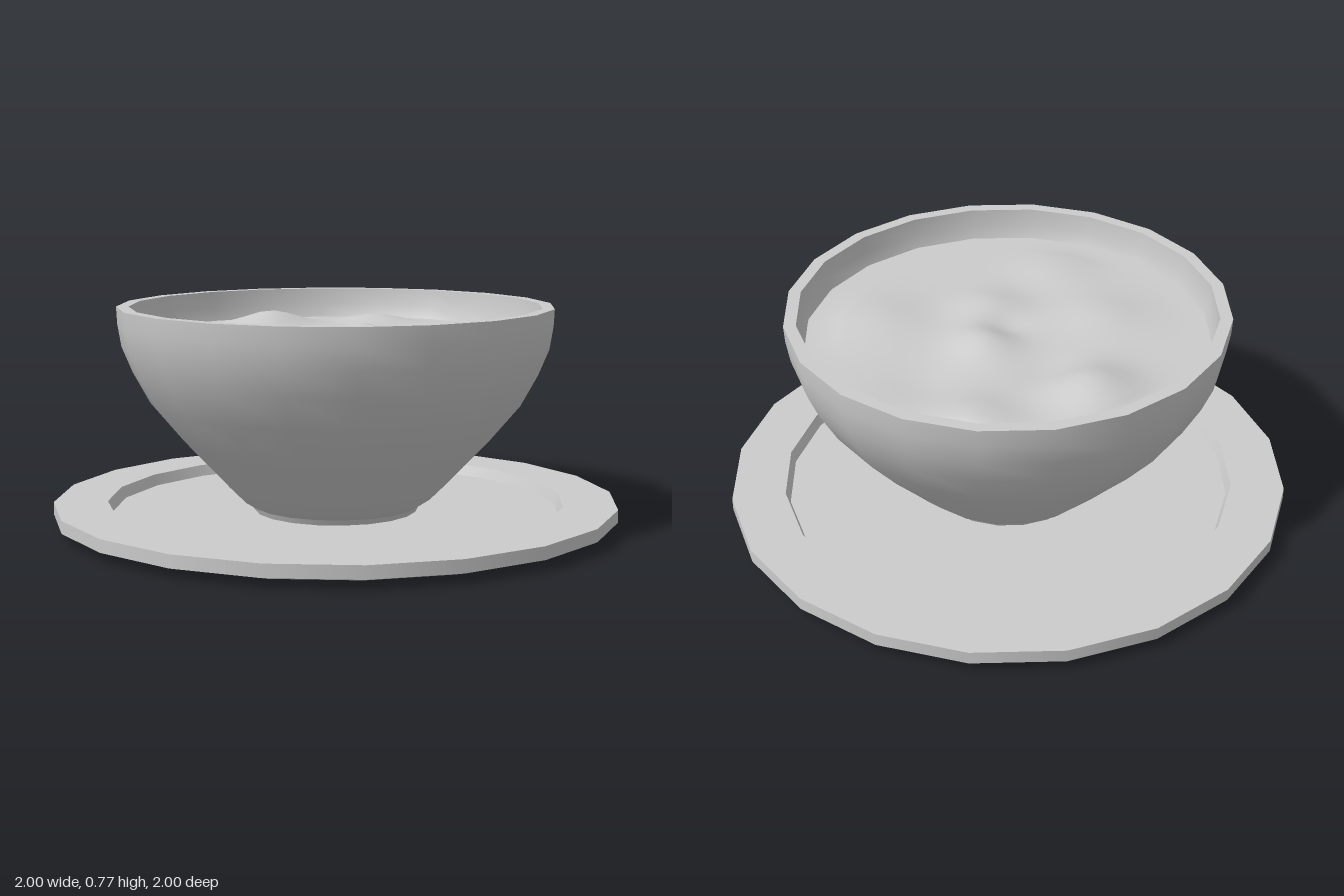
import * as THREE from 'three';
import { mergeGeometries } from 'three/addons/utils/BufferGeometryUtils.js';

const SIDES = 20;

// Turns several smooth runs of a profile into one mesh, with sharp edges between the runs
function turned(name, runs, material) {
  const parts = runs.map((run) =>
    new THREE.LatheGeometry(run.map(([r, y]) => new THREE.Vector2(r, y)), SIDES));
  const mesh = new THREE.Mesh(mergeGeometries(parts), material);
  mesh.name = name;
  return mesh;
}

// Soft hills and hollows of the soup: x, z, height, spread
const LUMPS = [
  [-0.40, -0.21, 0.055, 0.10], [-0.25, -0.17, -0.015, 0.08],
  [0.04, -0.10, 0.04, 0.08], [0.13, 0.12, 0.03, 0.09],
  [-0.13, -0.52, 0.03, 0.09], [0.45, -0.12, 0.025, 0.12],
  [-0.25, 0.24, 0.025, 0.11], [0.02, 0.47, 0.02, 0.10],
  [0.02, 0.02, -0.02, 0.06], [0.12, -0.40, -0.015, 0.10],
];

function soupHeight(x, z) {
  let h = 0;
  for (const [cx, cz, height, spread] of LUMPS) {
    const d2 = (x - cx) ** 2 + (z - cz) ** 2;
    h += height * Math.exp(-d2 / (2 * spread * spread));
  }
  const fade = Math.min(1, Math.max(0, (0.7 - Math.hypot(x, z)) / 0.12));
  return 0.66 + h * fade;
}

export function createModel() {
  const group = new THREE.Group();
  const material = new THREE.MeshStandardMaterial({ color: 0xcccccc });

  // Saucer: flat base, flared underside, upright edge, wide rim and sunken floor
  group.add(turned('saucer', [
    [[0, 0], [0.86, 0]],
    [[0.86, 0], [0.93, 0.015], [1, 0.035]],
    [[1, 0.035], [1, 0.08]],
    [[1, 0.08], [0.81, 0.08]],
    [[0.81, 0.08], [0.795, 0.04]],
    [[0.795, 0.04], [0, 0.04]],
  ], material));

  // Bowl: short foot, curved outside, flat lip and curved inside
  group.add(turned('bowl', [
    [[0.29, 0.04], [0.3, 0.06]],
    [[0.3, 0.06], [0.34, 0.085], [0.4, 0.145], [0.46, 0.21], [0.55, 0.305],
      [0.655, 0.43], [0.715, 0.54], [0.752, 0.63], [0.765, 0.71], [0.768, 0.77]],
    [[0.768, 0.77], [0.725, 0.77]],
    [[0.725, 0.77], [0.72, 0.71], [0.7, 0.64], [0.61, 0.45], [0.5, 0.32],
      [0.38, 0.19], [0.28, 0.11], [0, 0.1]],
  ], material));

  // Soup: a disc of rings raised by the lumps
  const rings = 24;
  const profile = [];
  for (let i = 0; i <= rings; i++) profile.push(new THREE.Vector2(0.705 * (1 - i / rings), 0));
  const soupGeometry = new THREE.LatheGeometry(profile, SIDES * 3);
  const pos = soupGeometry.attributes.position;
  for (let i = 0; i < pos.count; i++) pos.setY(i, soupHeight(pos.getX(i), pos.getZ(i)));

  // Normals come from the slope of the height rule, so the seam stays smooth
  const e = 0.005;
  const n = new THREE.Vector3();
  for (let i = 0; i < pos.count; i++) {
    const x = pos.getX(i), z = pos.getZ(i);
    n.set(soupHeight(x - e, z) - soupHeight(x + e, z), 2 * e,
      soupHeight(x, z - e) - soupHeight(x, z + e)).normalize();
    soupGeometry.attributes.normal.setXYZ(i, n.x, n.y, n.z);
  }
  const soup = new THREE.Mesh(soupGeometry, material);
  soup.name = 'soup';
  group.add(soup);

  return group;
}
